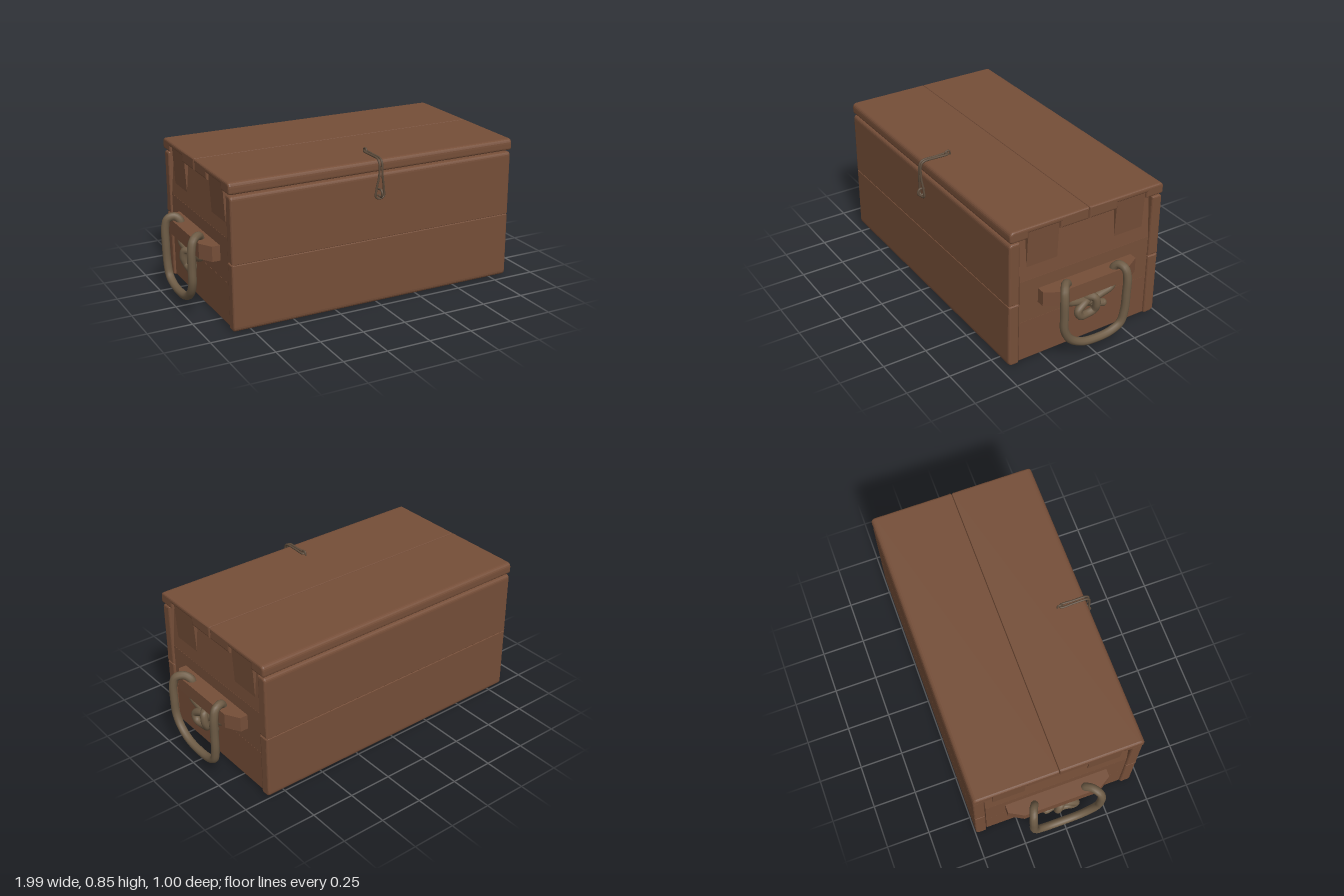
import * as THREE from 'three';

const wood = new THREE.MeshStandardMaterial({ color: 0x754e38 });
wood.name = 'brown wood';
const rope = new THREE.MeshStandardMaterial({ color: 0x6e5c46 });
rope.name = 'rope';
const iron = new THREE.MeshStandardMaterial({ color: 0x5c4b3b });
iron.name = 'dull iron';

function add(parent, name, geometry, material) {
  const mesh = new THREE.Mesh(geometry, material);
  mesh.name = name;
  parent.add(mesh);
  return mesh;
}

// Outline from [a, b, cornerRadius] points
function outline(points) {
  const shape = new THREE.Shape();
  const n = points.length;
  points.forEach(([a, b, r = 0], i) => {
    const p = new THREE.Vector2(a, b);
    const toward = (q) => new THREE.Vector2(q[0], q[1]).sub(p).setLength(r).add(p);
    const start = toward(points[(i + n - 1) % n]);
    const end = toward(points[(i + 1) % n]);
    if (i === 0) shape.moveTo(start.x, start.y);
    else shape.lineTo(start.x, start.y);
    if (r > 0) shape.quadraticCurveTo(a, b, end.x, end.y);
  });
  shape.closePath();
  return shape;
}

// Long board along x from a (z, y) profile, with rounded ends
function board(points, halfLength) {
  const bevel = 0.012;
  const depth = 2 * (halfLength - bevel);
  return new THREE.ExtrudeGeometry(outline(points), {
    depth, curveSegments: 5, bevelEnabled: true, bevelSize: bevel,
    bevelThickness: bevel, bevelOffset: -bevel, bevelSegments: 3,
  }).translate(0, 0, -depth / 2).rotateY(-Math.PI / 2);
}

// Straight prism along z from an (x, y) profile
function prism(points, z0, z1) {
  return new THREE.ExtrudeGeometry(outline(points), { depth: z1 - z0, bevelEnabled: false })
    .translate(0, 0, z0);
}

function tube(points, radius, segments, closed = false) {
  const curve = new THREE.CatmullRomCurve3(points.map((p) => new THREE.Vector3(...p)), closed, 'centripetal');
  return new THREE.TubeGeometry(curve, segments, radius, 10, closed);
}

// Rope with rounded ends
function cord(parent, name, points, radius) {
  add(parent, name, tube(points, radius, 20 + points.length * 5), rope);
  for (const p of [points[0], points[points.length - 1]]) {
    add(parent, name + 'End', new THREE.SphereGeometry(radius, 10, 8).translate(...p), rope);
  }
}

function makeEnd(s) {
  const end = new THREE.Group();
  end.name = s > 0 ? 'leftEnd' : 'rightEnd';
  const flip = (points) => points.map(([x, ...rest]) => [s * x, ...rest]);

  // Three end boards, the top one leaning inward
  add(end, 'lowerEndBoard', prism(flip([[0.78, 0.006], [0.838, 0.006, 0.008], [0.84, 0.249], [0.78, 0.249]]), -0.428, 0.388), wood);
  add(end, 'middleEndBoard', prism(flip([[0.78, 0.25], [0.84, 0.25], [0.84, 0.499], [0.78, 0.499]]), -0.428, 0.388), wood);
  add(end, 'upperEndBoard', prism(flip([[0.77, 0.5], [0.84, 0.5], [0.818, 0.744], [0.77, 0.744]]), -0.428, 0.388), wood);

  // Battens that rise into the lid notches
  for (const [z0, z1] of [[0.157, 0.343], [-0.383, -0.202]]) {
    add(end, 'lidBatten', prism(flip([[0.78, 0.57], [0.833, 0.57], [0.844, 0.785], [0.78, 0.785]]), z0, z1), wood);
  }

  // Handle bar with cut-off corners
  const bar = outline(flip([[0.82, 0.315], [0.885, 0.315], [0.93, 0.235], [0.93, -0.2], [0.885, -0.275], [0.82, -0.275]]));
  add(end, 'handleBar', new THREE.ExtrudeGeometry(bar, { depth: 0.085, bevelEnabled: false })
    .rotateX(-Math.PI / 2).translate(0, 0.343, 0), wood);

  // Rope loop through the bar
  cord(end, 'ropeHandle', flip([
    [0.895, 0.285, 0.0], [0.895, 0.3, 0.07], [0.895, 0.325, 0.13], [0.892, 0.38, 0.135],
    [0.893, 0.43, 0.13], [0.918, 0.455, 0.16], [0.955, 0.445, 0.19], [0.97, 0.4, 0.2],
    [0.972, 0.3, 0.2], [0.97, 0.21, 0.194], [0.967, 0.14, 0.155], [0.965, 0.092, 0.08],
    [0.963, 0.076, -0.02], [0.964, 0.085, -0.11], [0.967, 0.12, -0.17], [0.97, 0.19, -0.19],
    [0.972, 0.3, -0.195], [0.97, 0.4, -0.197], [0.955, 0.445, -0.192], [0.918, 0.455, -0.18],
    [0.893, 0.43, -0.165], [0.892, 0.37, -0.165], [0.895, 0.32, -0.15], [0.895, 0.295, -0.08],
    [0.895, 0.275, -0.01],
  ]), 0.023);

  // Knot under the bar
  cord(end, 'ropeKnot', flip([
    [0.885, 0.29, -0.03], [0.91, 0.285, 0.03], [0.92, 0.255, 0.075], [0.92, 0.22, 0.06],
    [0.91, 0.21, 0.015], [0.915, 0.225, -0.03], [0.93, 0.265, -0.035], [0.925, 0.31, -0.025],
    [0.895, 0.305, 0.005], [0.885, 0.27, 0.0], [0.895, 0.255, -0.04], [0.905, 0.24, -0.095],
  ]), 0.022);
  return end;
}

export function createModel() {
  const model = new THREE.Group();
  model.name = 'woodenChest';

  // Front and back walls, two boards each
  for (const [name, inner, outer] of [['front', 0.392, 0.455], ['back', -0.432, -0.495]]) {
    add(model, name + 'LowerBoard', board([[inner, 0.003, 0.008], [outer, 0.003, 0.028], [outer, 0.376, 0.004], [inner, 0.376, 0.004]], 0.85), wood);
    add(model, name + 'UpperBoard', board([[inner, 0.378, 0.004], [outer, 0.378, 0.004], [outer, 0.745, 0.024], [inner, 0.745, 0.008]], 0.85), wood);
  }
  add(model, 'floor', new THREE.BoxGeometry(1.64, 0.04, 0.84).translate(0, 0.028, -0.02), wood);

  // Lid boards with notches for the battens
  add(model, 'frontLidBoard', board([
    [-0.019, 0.75], [0.155, 0.75], [0.155, 0.787], [0.345, 0.787], [0.345, 0.754],
    [0.455, 0.754, 0.016], [0.455, 0.819, 0.028], [-0.019, 0.819, 0.005],
  ], 0.856), wood);
  add(model, 'backLidBoard', board([
    [-0.021, 0.75], [-0.2, 0.75], [-0.2, 0.787], [-0.385, 0.787], [-0.385, 0.754],
    [-0.495, 0.754, 0.016], [-0.495, 0.819, 0.028], [-0.021, 0.819, 0.005],
  ], 0.856), wood);

  for (const s of [1, -1]) model.add(makeEnd(s));

  // Wire latch bent over the lid edge
  const latch = new THREE.Group();
  latch.name = 'latch';
  add(latch, 'hasp', tube([
    [0.008, 0.828, 0.31], [0.008, 0.828, 0.38], [0.008, 0.826, 0.455], [0.008, 0.81, 0.473],
    [0.01, 0.74, 0.478], [0.022, 0.665, 0.472], [0.024, 0.62, 0.47], [0, 0.609, 0.47],
    [-0.024, 0.62, 0.47], [-0.022, 0.665, 0.472], [-0.01, 0.74, 0.478], [-0.008, 0.81, 0.473],
    [-0.008, 0.826, 0.455], [-0.008, 0.828, 0.38], [-0.008, 0.828, 0.31], [0, 0.828, 0.304],
  ], 0.006, 120, true), iron);
  add(latch, 'lidStaple', tube([
    [0, 0.81, 0.29], [0, 0.842, 0.295], [0, 0.842, 0.317], [0, 0.81, 0.322],
  ], 0.005, 24), iron);
  add(latch, 'frontStaple', tube([
    [0, 0.625, 0.45], [0, 0.622, 0.485], [0, 0.64, 0.495], [0, 0.66, 0.485], [0, 0.658, 0.45],
  ], 0.006, 28), iron);
  model.add(latch);
  return model;
}
